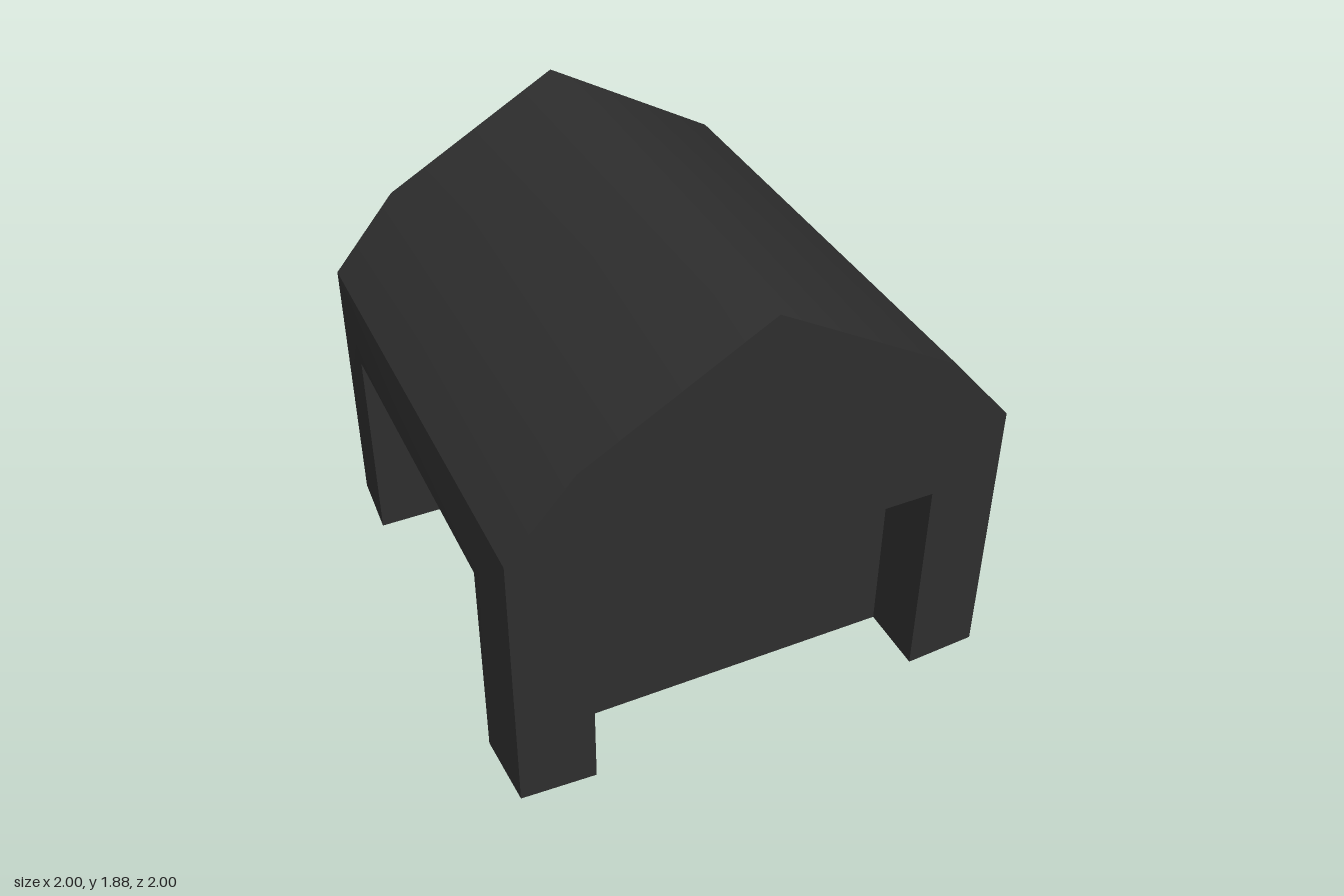
import * as THREE from 'three';
import { mergeVertices } from 'three/addons/utils/BufferGeometryUtils.js';

const C = 0.985; // building corners, slightly drawn in
const D = 0.687; // half width of the openings
const K = 0.72;  // distance of the recessed panels from the centre
const H = 0.89;  // opening height
const E = 1.16;  // eave height

// Roof cross-section from left eave over the ridge to right eave: x, y, half length
const ROOF = [[C, E, C], [0.72, 1.47, 0.992], [0, 1.88, 0.988], [-0.72, 1.47, 0.992], [-C, E, C]];

const material = new THREE.MeshStandardMaterial({ color: 0x2e2e2e });

// Mesh from polygons, each fanned from its first corner; smooth shares corner normals
function facets(name, polygons, smooth = false) {
  const pos = [];
  for (const p of polygons) {
    for (let i = 1; i < p.length - 1; i++) pos.push(...p[0], ...p[i], ...p[i + 1]);
  }
  let g = new THREE.BufferGeometry();
  g.setAttribute('position', new THREE.Float32BufferAttribute(pos, 3));
  if (smooth) g = mergeVertices(g);
  g.computeVertexNormals();
  const mesh = new THREE.Mesh(g, material);
  mesh.name = name;
  return mesh;
}

// One side of the building, facing +z
function buildSide(name, topEdge) {
  const side = new THREE.Group();
  side.name = name;

  // Outer skin: upper part bulging slightly around a hub, and two corner posts
  const hub = [0, 1.08, 1];
  const rim = [[-D, H, 1], [D, H, 1], ...topEdge];
  side.add(facets('wallSkin', [
    ...rim.map((p, i) => [hub, p, rim[(i + 1) % rim.length]]),
    [[-C, 0, C], [-D, 0, 1], [-D, H, 1], [-C, E, C]],
    [[D, 0, 1], [C, 0, C], [C, E, C], [D, H, 1]],
  ], true));

  // Underside of one corner post
  side.add(facets('postFoot', [
    [[K, 0, K], [K, 0, D], [1, 0, D], [C, 0, C], [D, 0, 1], [D, 0, K]],
  ]));

  // Recessed doorway: jambs, lintel underside and back panel
  side.add(facets('doorRecess', [
    [[-D, 0, 1], [-D, 0, K], [-D, H, K], [-D, H, 1]],
    [[D, 0, K], [D, 0, 1], [D, H, 1], [D, H, K]],
    [[-D, H, K], [D, H, K], [D, H, 1], [-D, H, 1]],
    [[-D, 0, K], [D, 0, K], [D, H, K], [-D, H, K]],
  ]));
  return side;
}

// Smooth-shaded roof swept along z
function buildRoof() {
  const slopes = ROOF.slice(1).map(([x, y], i) =>
    new THREE.Vector3(y - ROOF[i][1], ROOF[i][0] - x, 0).normalize());
  const pos = [], normal = [], index = [];
  ROOF.forEach(([x, y, z], i) => {
    const before = slopes[Math.max(i - 1, 0)];
    const after = slopes[Math.min(i, slopes.length - 1)];
    const n = before.clone().add(after).normalize().toArray();
    pos.push(x, y, z, x, y, -z);
    normal.push(...n, ...n);
    if (i) {
      const a = 2 * i - 2;
      index.push(a, a + 1, a + 3, a, a + 3, a + 2);
    }
  });
  const g = new THREE.BufferGeometry();
  g.setAttribute('position', new THREE.Float32BufferAttribute(pos, 3));
  g.setAttribute('normal', new THREE.Float32BufferAttribute(normal, 3));
  g.setIndex(index);
  const roof = new THREE.Mesh(g, material);
  roof.name = 'roof';
  return roof;
}

export function createModel() {
  const group = new THREE.Group();
  group.name = 'barn';

  // Gables and long walls alternate around the building
  const eave = [[C, E, C], [-C, E, C]];
  ['frontGable', 'leftWall', 'backGable', 'rightWall'].forEach((name, i) => {
    const side = buildSide(name, i % 2 ? eave : ROOF);
    side.rotation.y = i * Math.PI / 2;
    group.add(side);
  });

  group.add(buildRoof());
  group.add(facets('floor', [[[-K, 0, -K], [K, 0, -K], [K, 0, K], [-K, 0, K]]]));
  return group;
}
